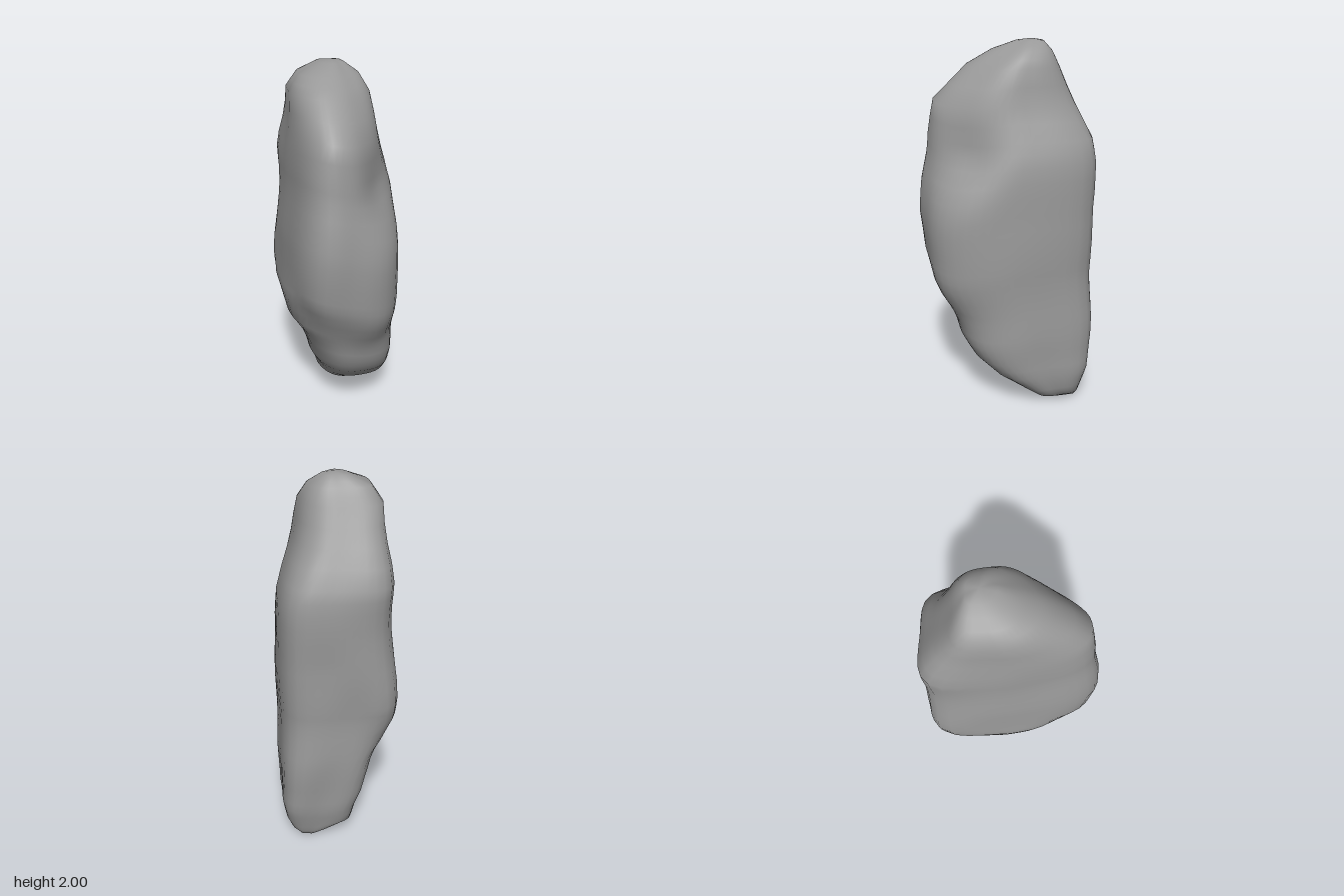
import * as THREE from 'three';

// Cross-sections: y, xMin, xMax, zMin, zMax
const SECTIONS = [
  [0.005, 0.12, 0.21, -0.36, -0.27], [0.04, 0.04, 0.26, -0.378, -0.11],
  [0.10, -0.08, 0.29, -0.395, -0.02], [0.20, -0.105, 0.31, -0.42, 0.12],
  [0.30, -0.15, 0.31, -0.432, 0.215], [0.40, -0.18, 0.31, -0.44, 0.27],
  [0.50, -0.22, 0.307, -0.442, 0.30], [0.60, -0.28, 0.306, -0.44, 0.34],
  [0.75, -0.315, 0.306, -0.437, 0.415], [0.85, -0.312, 0.306, -0.442, 0.44],
  [1.05, -0.30, 0.306, -0.455, 0.46], [1.22, -0.285, 0.303, -0.457, 0.442],
  [1.38, -0.272, 0.29, -0.452, 0.415], [1.50, -0.265, 0.263, -0.435, 0.402],
  [1.68, -0.25, 0.205, -0.362, 0.37], [1.86, -0.24, 0.172, -0.275, 0.20],
  [1.94, -0.18, 0.13, -0.235, 0.07], [1.99, -0.07, 0.06, -0.19, -0.05],
];

// Local dents (positive) and swellings (negative): x, y, z, radius, depth
const DENTS = [
  [0.19, 1.40, 0.30, 0.18, 0.045],   // hollow on the front edge
  [-0.27, 0.74, 0.32, 0.15, 0.045],  // undercut beside the front slab
  [0.12, 0.66, 0.34, 0.12, -0.02],   // lip
  [0.10, 1.05, -0.45, 0.14, 0.02],   // back hollow
  [-0.28, 0.88, -0.40, 0.14, -0.035], // back edge knobs and notch
  [-0.25, 1.55, -0.38, 0.17, -0.035],
  [-0.26, 0.56, -0.36, 0.13, 0.045],
  [-0.22, 0.40, -0.25, 0.12, 0.015],
];

const STEPS = 2, AROUND = 48;
const { lerp, smoothstep } = THREE.MathUtils;

function sectionAt(row) {
  const i = Math.min(Math.floor(row / STEPS), SECTIONS.length - 2);
  const f = row / STEPS - i;
  return SECTIONS[i].map((v, k) => lerp(v, SECTIONS[i + 1][k], f));
}

// Squareness of each vertical corner, varying with height
function squareness(y, c, s) {
  const top = smoothstep(y, 1.45, 1.75);
  if (s < 0) return c < 0 ? 4.7 : 4.7 - 2.1 * top - 2 * (1 - smoothstep(y, 0, 0.25));
  return c < 0 ? 3.3 - 0.6 * top : 2.9 - 1.25 * smoothstep(y, 1.1, 1.5);
}

function outlinePoint(row, j) {
  const [y, x0, x1, z0, z1] = sectionAt(row);
  const t = (j / AROUND) * Math.PI * 2, c = Math.cos(t), s = Math.sin(t);
  const n = squareness(y, c, s);
  const r = (Math.abs(c) ** n + Math.abs(s) ** n) ** (-1 / n);
  const u = c * r, v = s * r, front = Math.max(v, 0);
  const cx = (x0 + x1) / 2, cz = (z0 + z1) / 2;
  const p = new THREE.Vector3(cx + u * (x1 - x0) / 2, y, cz + v * (z1 - z0) / 2);
  // The front face leans back toward +x, its ledges slope down that way, and its -x side tapers
  p.x += 0.03 * front * Math.max(-u, 0);
  p.z -= 0.045 * front * u * (z1 - z0);
  p.y -= 0.08 * front * u * Math.sin(y * Math.PI / 2);
  let push = 0.006 * Math.sin(9 * y + 3 * t) * Math.sin(5 * y - 2 * t);
  for (const [dx, dy, dz, radius, depth] of DENTS) {
    const d2 = (p.x - dx) ** 2 + (p.y - dy) ** 2 + (p.z - dz) ** 2;
    push += depth * Math.exp(-d2 / (radius * radius));
  }
  const inward = new THREE.Vector3(cx - p.x, 0, cz - p.z).normalize();
  return p.addScaledVector(inward, push);
}

function rockGeometry() {
  const rows = (SECTIONS.length - 1) * STEPS, pos = [], index = [];
  for (let i = 0; i <= rows; i++) {
    for (let j = 0; j < AROUND; j++) pos.push(...outlinePoint(i, j).toArray());
  }
  // Cap centres
  const bottom = pos.length / 3, top = bottom + 1;
  pos.push(0.17, 0, -0.33, 0, 2, -0.13);
  const at = (i, j) => i * AROUND + (j % AROUND);
  for (let j = 0; j < AROUND; j++) {
    for (let i = 0; i < rows; i++) {
      const a = at(i, j), b = at(i, j + 1), ua = at(i + 1, j), ub = at(i + 1, j + 1);
      index.push(a, ua, b, b, ua, ub);
    }
    index.push(bottom, at(0, j), at(0, j + 1), top, at(rows, j + 1), at(rows, j));
  }
  const g = new THREE.BufferGeometry();
  g.setAttribute('position', new THREE.Float32BufferAttribute(pos, 3));
  g.setIndex(index);
  g.computeVertexNormals();
  return g;
}

export function createModel() {
  const group = new THREE.Group();
  group.name = 'standingStone';
  const rock = new THREE.Mesh(rockGeometry(), new THREE.MeshStandardMaterial({ color: 0x999999 }));
  rock.name = 'rock';
  group.add(rock);
  return group;
}
